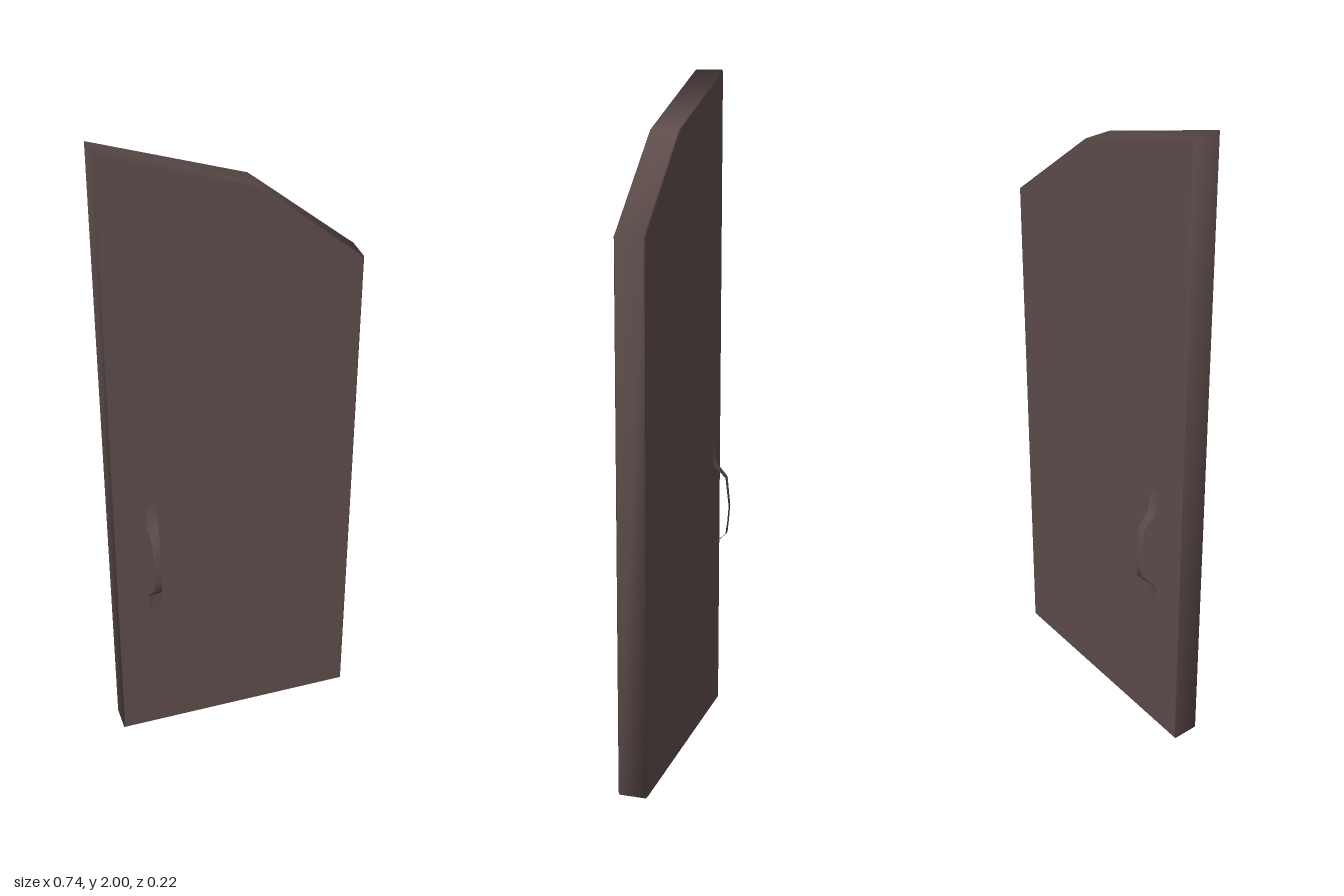
import * as THREE from 'three';
import { mergeVertices } from 'three/addons/utils/BufferGeometryUtils.js';

export function createModel() {
  const group = new THREE.Group();
  group.name = 'door';
  const wood = new THREE.MeshStandardMaterial({ color: 0x5c4c4a });
  wood.name = 'dark brown';
  const thin = new THREE.MeshStandardMaterial({ color: 0x5c4c4a, side: THREE.DoubleSide });
  thin.name = 'dark brown handle';

  // Slab with a slanted two-part top and softly rounded edges
  const outline = [[-0.37, 0], [0.37, 0], [0.37, 1.59], [0.06, 1.85], [-0.37, 2]];
  const shape = new THREE.Shape(outline.map(([x, y]) => new THREE.Vector2(x, y)));
  const bevel = 0.004;
  let slab = new THREE.ExtrudeGeometry(shape, {
    depth: 0.087 - 2 * bevel, bevelEnabled: true, bevelThickness: bevel,
    bevelSize: bevel, bevelOffset: -bevel, bevelSegments: 1,
  });
  slab.translate(0, 0, -0.045 + bevel);
  slab.deleteAttribute('uv');
  slab.deleteAttribute('normal');
  slab = mergeVertices(slab, 1e-4);
  slab.computeVertexNormals();
  const panel = new THREE.Mesh(slab, wood);
  panel.name = 'panel';
  group.add(panel);

  // Ribbon handle from cross-sections: [y, z, width]
  function handle(name, sections) {
    const positions = [], index = [];
    sections.forEach(([y, z, w], i) => {
      positions.push(-0.258 - w / 2, y, z, -0.258 + w / 2, y, z);
      if (i > 0) {
        const a = 2 * i - 2;
        index.push(a, a + 1, a + 3, a, a + 3, a + 2);
      }
    });
    // Keep the front of the ribbon pointing away from the door
    if (sections[0][1] < 0) index.reverse();
    const geometry = new THREE.BufferGeometry();
    geometry.setAttribute('position', new THREE.Float32BufferAttribute(positions, 3));
    geometry.setIndex(index);
    geometry.computeVertexNormals();
    const mesh = new THREE.Mesh(geometry, thin);
    mesh.name = name;
    group.add(mesh);
  }

  handle('frontHandle', [
    [0.485, 0.056, 0.028], [0.55, 0.058, 0.039], [0.565, 0.066, 0.037], [0.6, 0.1, 0.026],
    [0.64, 0.105, 0.02], [0.69, 0.108, 0.019], [0.78, 0.1, 0.024],
    [0.82, 0.056, 0.036], [0.89, 0.05, 0.022],
  ]);
  handle('backHandle', [
    [0.485, -0.05, 0.028], [0.55, -0.052, 0.039], [0.565, -0.062, 0.037], [0.6, -0.098, 0.026],
    [0.64, -0.103, 0.02], [0.69, -0.107, 0.019], [0.78, -0.097, 0.024],
    [0.82, -0.06, 0.036], [0.89, -0.053, 0.022],
  ]);

  return group;
}
